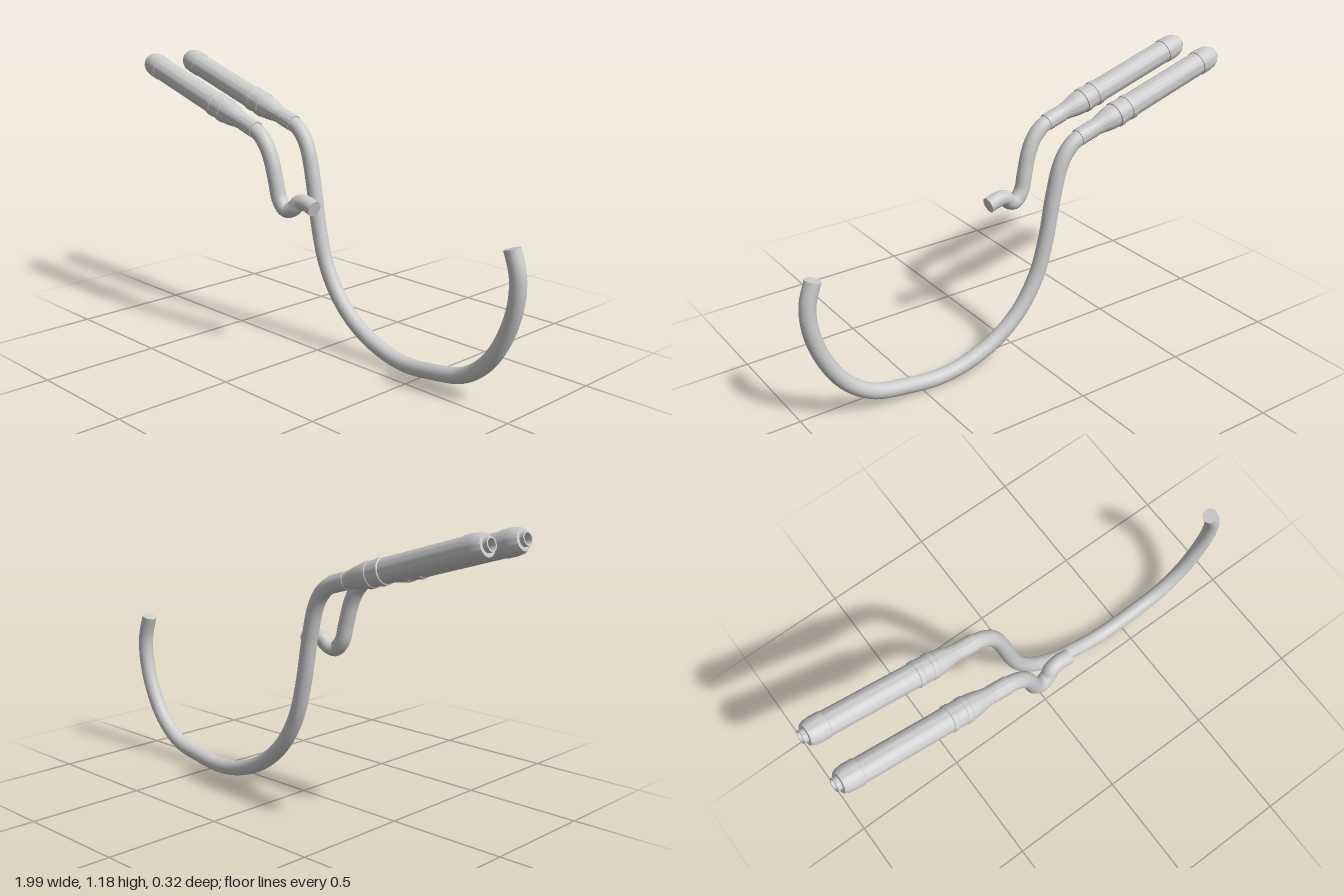
import * as THREE from 'three';
import { toCreasedNormals } from 'three/addons/utils/BufferGeometryUtils.js';

const PIPE_RADIUS = 0.0325;
const TIP = [-0.99, 1.15];     // outlet centre (x, y)
const EXIT = [-0.259, 0.929];  // collar end where the pipe enters

// Silencer profile: [radius, distance from the outlet]
const SILENCER = [
  [0, 0.06], [0.021, 0.06], [0.021, 0], [0.027, 0], [0.027, 0.018],   // hollow outlet
  [0.042, 0.018], [0.049, 0.034], [0.0525, 0.06], [0.0525, 0.098],    // end cap
  [0.0495, 0.1], [0.0495, 0.482],                                     // body
  [0.054, 0.485], [0.054, 0.505], [0.051, 0.508], [0.051, 0.545],     // clamp bands
  [0.054, 0.548], [0.054, 0.568], [0.05, 0.571], [0.049, 0.595],
  [0.045, 0.62], [0.038, 0.65], [0.034, 0.68],                        // taper
  [0.036, 0.683], [0.036, 0.764], [0, 0.764],                         // collar
];

// Pipe centre lines
const LONG_PIPE = [
  [-0.285, 0.937, -0.107], [-0.235, 0.915, -0.107], [-0.195, 0.875, -0.107],
  [-0.167, 0.82, -0.106], [-0.137, 0.7, -0.105], [-0.102, 0.51, -0.104],
  [-0.057, 0.36, -0.102], [0.025, 0.225, -0.1], [0.14, 0.125, -0.097],
  [0.275, 0.063, -0.094], [0.415, 0.037, -0.091], [0.57, 0.05, -0.088],
  [0.72, 0.083, -0.085], [0.835, 0.168, -0.082], [0.915, 0.295, -0.079],
  [0.958, 0.43, -0.076], [0.961, 0.54, -0.074], [0.932, 0.635, -0.073],
];
const SHORT_PIPE = [
  [-0.285, 0.937, 0.107], [-0.235, 0.915, 0.107], [-0.195, 0.875, 0.106],
  [-0.167, 0.82, 0.104], [-0.143, 0.73, 0.1], [-0.124, 0.655, 0.097],
  [-0.088, 0.618, 0.094], [-0.052, 0.629, 0.086], [-0.027, 0.655, 0.078],
  [0.005, 0.66, 0.075], [0.06, 0.645, 0.074],
];

function makeSilencer(z, material) {
  const points = SILENCER.map(([r, s]) => new THREE.Vector2(r, s));
  const geometry = toCreasedNormals(new THREE.LatheGeometry(points, 40), 0.45);
  const mesh = new THREE.Mesh(geometry, material);
  const axis = new THREE.Vector3(EXIT[0] - TIP[0], EXIT[1] - TIP[1], 0).normalize();
  mesh.quaternion.setFromUnitVectors(new THREE.Vector3(0, 1, 0), axis);
  mesh.position.set(TIP[0], TIP[1], z);
  mesh.name = 'silencer';
  return mesh;
}

function makePipe(path, material) {
  const group = new THREE.Group();
  group.name = 'headerPipe';
  const curve = new THREE.CatmullRomCurve3(path.map((p) => new THREE.Vector3(...p)));
  const tube = new THREE.Mesh(new THREE.TubeGeometry(curve, path.length * 8, PIPE_RADIUS, 24), material);
  tube.name = 'pipeTube';
  // Flat disc closing the free end
  const end = new THREE.Mesh(new THREE.CircleGeometry(PIPE_RADIUS, 24), material);
  end.name = 'pipeEnd';
  end.position.copy(curve.getPoint(1));
  end.quaternion.setFromUnitVectors(new THREE.Vector3(0, 0, 1), curve.getTangent(1));
  group.add(tube, end);
  return group;
}

export function createModel() {
  const model = new THREE.Group();
  model.name = 'twinExhaust';
  const steel = new THREE.MeshStandardMaterial({ color: 0xcccccc });
  steel.name = 'steel';

  [['rearExhaust', -0.107, LONG_PIPE], ['frontExhaust', 0.107, SHORT_PIPE]].forEach(([name, z, path]) => {
    const exhaust = new THREE.Group();
    exhaust.name = name;
    exhaust.add(makeSilencer(z, steel), makePipe(path, steel));
    model.add(exhaust);
  });
  return model;
}
